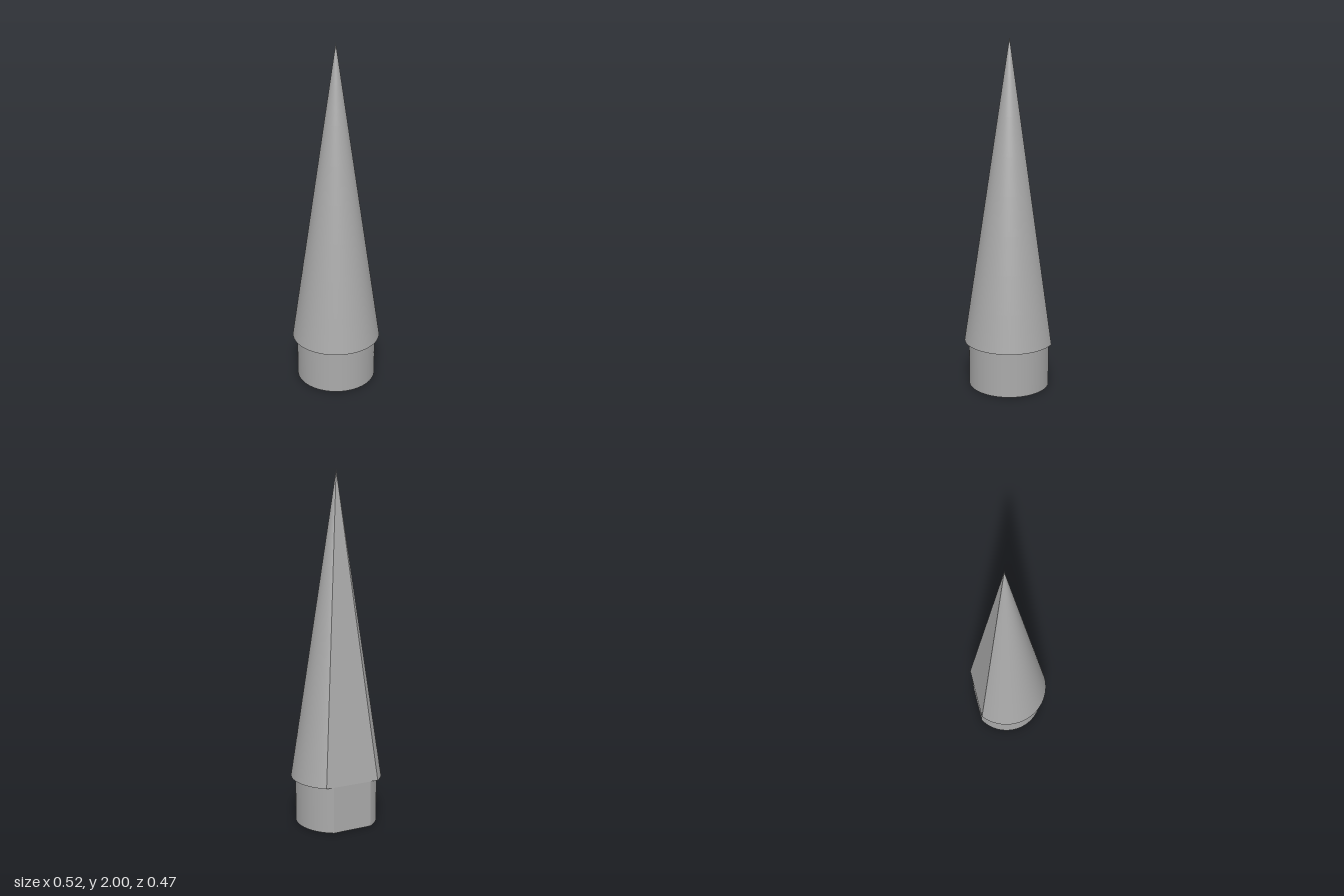
import * as THREE from 'three';

const FLAT = 0.206;      // distance from the axis to the flat back
const AXIS_Z = -0.029;   // the axis sits slightly behind the centre
const SKIRT_Y = 0.265, TIP_Y = 2;
const CONE_R = 0.262, PLUG_R = 0.236;
const SEGMENTS = 96;

// Half the angle and half the width that the flat cuts from a circle
const cutAngle = (r) => Math.acos(FLAT / r);
const cutHalf = (r) => Math.sqrt(r * r - FLAT * FLAT);

// Round wall that leaves the flat back open
function roundWall(rTop, rBottom, y0, y1) {
  const a = Math.PI - cutAngle(rBottom);
  const rows = rTop === 0 ? 8 : 1;
  const g = new THREE.CylinderGeometry(rTop, rBottom, y1 - y0, SEGMENTS, rows, true, -a, 2 * a);
  return g.translate(0, (y0 + y1) / 2, 0);
}

// Downward face bounded by a cut circle, less an optional smaller cut circle
function lowerFace(r, y, inner) {
  const shape = new THREE.Shape();
  const start = (q) => -Math.PI / 2 + cutAngle(q);
  const end = (q) => 1.5 * Math.PI - cutAngle(q);
  shape.absarc(0, 0, r, start(r), end(r), false);
  if (inner) shape.absarc(0, 0, inner, end(inner), start(inner), true);
  return new THREE.ShapeGeometry(shape, SEGMENTS).rotateX(Math.PI / 2).translate(0, y, 0);
}

// Flat triangle running from the skirt up to the tip
function coneFlat() {
  const h = cutHalf(CONE_R);
  const g = new THREE.BufferGeometry();
  g.setAttribute('position', new THREE.Float32BufferAttribute(
    [h, SKIRT_Y, -FLAT, -h, SKIRT_Y, -FLAT, 0, TIP_Y, 0], 3));
  g.computeVertexNormals();
  return g;
}

export function createModel() {
  const model = new THREE.Group();
  model.name = 'flatBackedSpike';
  const grey = new THREE.MeshStandardMaterial({ color: 0xaaaaaa });
  grey.name = 'plain grey';

  const addPart = (name, pieces) => {
    const part = new THREE.Group();
    part.name = name;
    part.position.z = AXIS_Z;
    for (const [pieceName, geometry] of Object.entries(pieces)) {
      const mesh = new THREE.Mesh(geometry, grey);
      mesh.name = pieceName;
      part.add(mesh);
    }
    model.add(part);
  };

  // Tall pointed cone
  addPart('cone', {
    coneWall: roundWall(0, CONE_R, SKIRT_Y, TIP_Y),
    coneFlatBack: coneFlat(),
    coneUnderside: lowerFace(CONE_R, SKIRT_Y, PLUG_R),
  });

  // Narrower plug below it, sharing the same flat plane
  addPart('plug', {
    plugWall: roundWall(PLUG_R, PLUG_R, 0, SKIRT_Y),
    plugFlatBack: new THREE.PlaneGeometry(2 * cutHalf(PLUG_R), SKIRT_Y)
      .rotateY(Math.PI).translate(0, SKIRT_Y / 2, -FLAT),
    plugUnderside: lowerFace(PLUG_R, 0),
  });

  return model;
}
